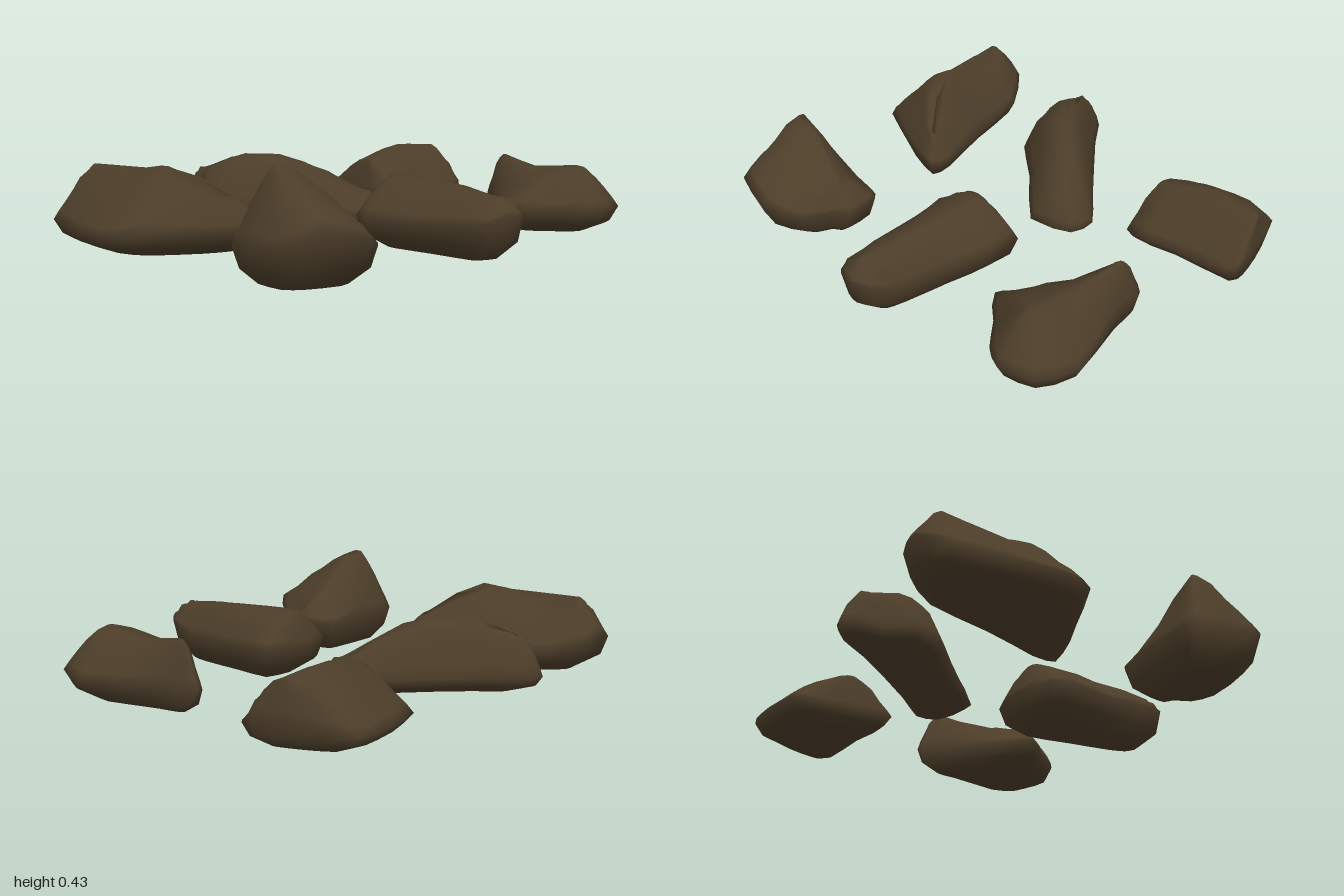
import * as THREE from 'three';
import { mergeVertices } from 'three/addons/utils/BufferGeometryUtils.js';

const stone = new THREE.MeshStandardMaterial({ color: 0x4c3d29 });
stone.name = 'brown stone';

const SPLIT = 2; // rim vertices per outline corner

// [inward amount, rise]: rings from the underside (negative) over the rim
const UNDERSIDE = [[-1, 1], [-0.48, 0.93], [-0.16, 0.55], [0, 0]];
const UPPER = [0.12, 0.3, 0.5, 0.72, 0.92];

// Small repeatable bump in -1..1
const bump = (i, j, k) => {
  const s = Math.sin(i * 12.99 + j * 78.23 + k * 37.7) * 43758.5453;
  return (s - Math.floor(s)) * 2 - 1;
};

// Rock from a plan outline [x, z, own rim height if it differs], a crest line
// [x, y, z], the rim and base heights, and a fullness (1 = tent, 2 = dome)
function makeRock(name, { outline, crest, rim, base, full }) {
  const loop = new THREE.CatmullRomCurve3(
    outline.map(([x, z, y = rim]) => new THREE.Vector3(x, y, z)), true, 'catmullrom', 0.3);
  const n = outline.length * SPLIT;
  const edge = loop.getPoints(n).slice(0, n);
  const line = new THREE.CatmullRomCurve3(crest.map(p => new THREE.Vector3(...p)));
  const start = line.getPoint(0);
  const axis = line.getPoint(1).sub(start).setY(0);
  const centre = line.getPoint(0.5);
  const keel = centre.clone().setY(base);

  const levels = [...UNDERSIDE, ...UPPER.map(t => [t, 1 - (1 - t) ** full])];
  const rings = levels.map(([t, rise], level) => edge.map((e, i) => {
    const u = THREE.MathUtils.clamp(e.clone().sub(start).setY(0).dot(axis) / axis.lengthSq(), 0, 1);
    const target = line.getPoint(u);
    if (t < 0) target.lerp(keel, -t).setY(base);
    const p = e.clone().lerp(target, Math.abs(t));
    p.y = THREE.MathUtils.lerp(e.y, target.y, rise);
    if (t > 0 && t < 0.9) p.y += 0.009 * bump(i, level, outline.length);
    return p;
  }));
  rings.push(edge.map(() => centre));

  // Skin between rings, closed by a fan at either end
  const index = [];
  for (let r = 0; r < rings.length - 1; r++) {
    for (let i = 0; i < n; i++) {
      const a = r * n + i, b = r * n + (i + 1) % n;
      if (r > 0) index.push(a, a + n, b);
      if (r < rings.length - 2) index.push(b, a + n, b + n);
    }
  }
  const shell = new THREE.BufferGeometry().setFromPoints(rings.flat());
  shell.setIndex(index);
  const geometry = mergeVertices(shell, 1e-4);
  geometry.computeVertexNormals();
  const mesh = new THREE.Mesh(geometry, stone);
  mesh.name = name;
  return mesh;
}

export function createModel() {
  const group = new THREE.Group();
  group.name = 'rocks';

  group.add(makeRock('backRightLongRock', {
    rim: 0.12, base: 0.015, full: 1.35,
    crest: [[-0.75, 0.345, -0.75], [-0.74, 0.315, -0.58], [-0.69, 0.37, -0.32], [-0.55, 0.24, -0.12]],
    outline: [[-0.92, -0.82], [-0.77, -0.87, 0.2], [-0.67, -0.85, 0.18], [-0.57, -0.7], [-0.51, -0.42],
      [-0.45, -0.14], [-0.46, -0.03], [-0.66, -0.1], [-0.93, -0.24], [-1, -0.4, 0.1]],
  }));

  group.add(makeRock('backMiddleRidgeRock', {
    rim: 0.12, base: 0.05, full: 2.3,
    crest: [[-0.2, 0.28, -0.72], [-0.1, 0.355, -0.51], [0.06, 0.31, -0.33], [0.2, 0.2, -0.17]],
    outline: [[-0.25, -0.79], [-0.2, -0.84], [-0.14, -0.81], [-0.05, -0.67], [0.2, -0.34], [0.31, -0.2, 0.09],
      [0.29, -0.09, 0.09], [0.1, -0.05, 0.09], [-0.09, -0.26], [-0.27, -0.43], [-0.33, -0.58], [-0.26, -0.68]],
  }));

  group.add(makeRock('backLeftBlockRock', {
    rim: 0.13, base: 0.045, full: 1.45,
    crest: [[0.51, 0.29, -0.4], [0.75, 0.33, -0.43], [0.96, 0.32, -0.41]],
    outline: [[0.48, -0.21], [0.49, -0.5], [0.54, -0.67], [0.75, -0.69], [0.89, -0.66],
      [0.97, -0.42, 0.18], [0.995, -0.28, 0.17], [0.96, -0.22], [0.7, -0.22]],
  }));

  group.add(makeRock('frontRightPeakRock', {
    rim: 0.15, base: 0, full: 1.35,
    crest: [[-0.8, 0.44, 0.39], [-0.71, 0.41, 0.41], [-0.53, 0.25, 0.45]],
    outline: [[-0.91, 0.28], [-0.8, 0.27], [-0.5, 0.3], [-0.43, 0.34], [-0.42, 0.49],
      [-0.49, 0.53], [-0.55, 0.65], [-0.67, 0.74, 0.2], [-0.85, 0.69, 0.24], [-0.94, 0.55, 0.17]],
  }));

  group.add(makeRock('frontMiddleWedgeRock', {
    rim: 0.16, base: 0.025, full: 2,
    crest: [[0.04, 0.31, 0.22], [0.02, 0.305, 0.48], [-0.02, 0.28, 0.76]],
    outline: [[-0.2, 0.25], [-0.16, 0.17], [0, 0.13], [0.24, 0.19, 0.18], [0.17, 0.45], [0.11, 0.7],
      [0.07, 0.82, 0.2], [0, 0.865, 0.22], [-0.08, 0.84, 0.21], [-0.15, 0.76, 0.18], [-0.17, 0.5]],
  }));

  group.add(makeRock('frontLeftPointedRock', {
    rim: 0.15, base: 0.04, full: 1.7,
    crest: [[0.755, 0.335, 0.21], [0.71, 0.3, 0.4], [0.69, 0.325, 0.62]],
    outline: [[0.38, 0.48], [0.55, 0.32], [0.76, 0.11], [0.8, 0.14], [0.82, 0.29], [0.9, 0.6],
      [0.82, 0.76], [0.67, 0.79], [0.58, 0.73], [0.49, 0.61]],
  }));

  return group;
}
